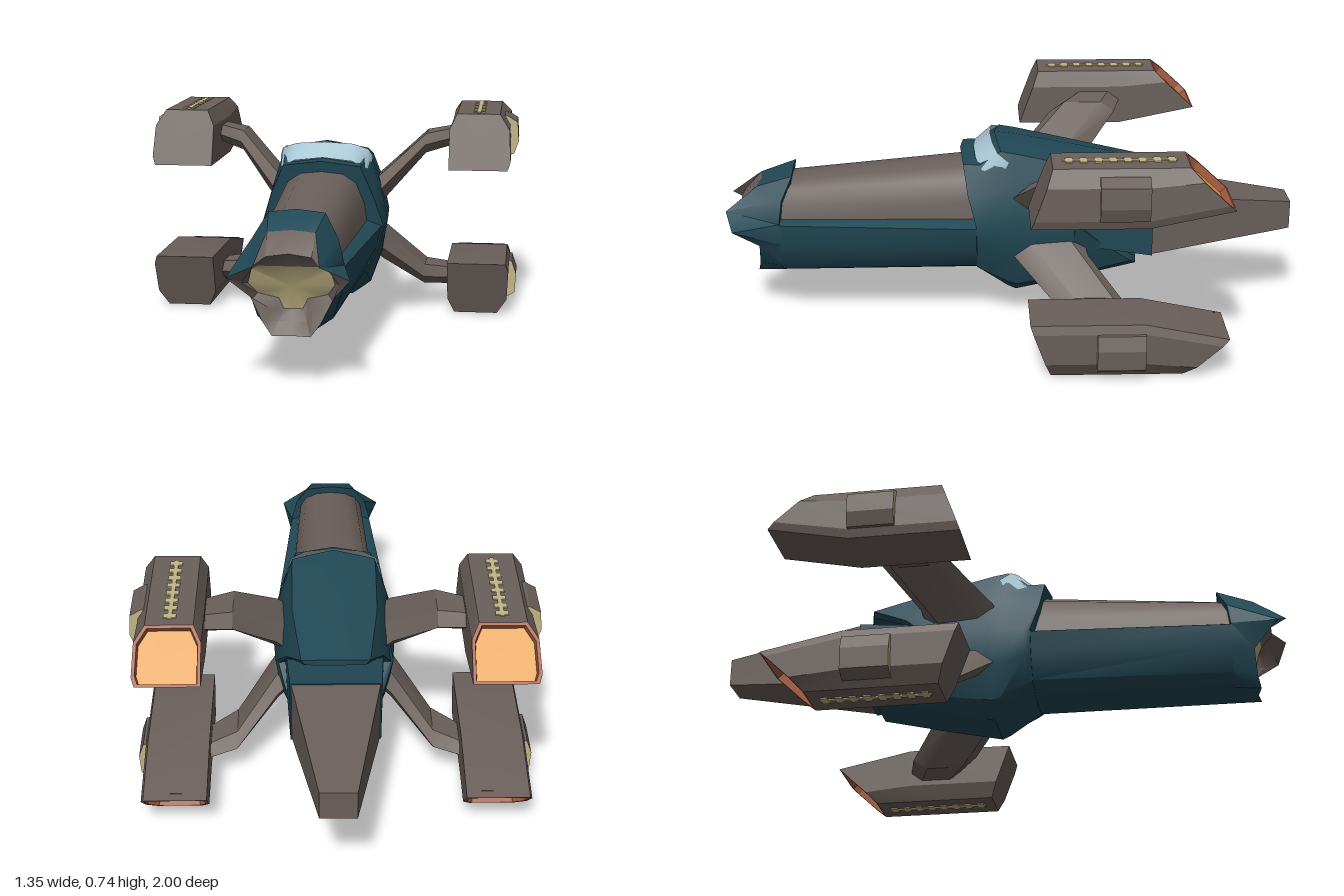
import * as THREE from 'three';
import { toCreasedNormals } from 'three/addons/utils/BufferGeometryUtils.js';

const mat = (name, color) => new THREE.MeshStandardMaterial({ name, color });

// Closed solid through rings of [x, y, z] points; mats = one material or [startCap, ...bands, endCap]
function loft(name, rings, mats, crease = 0.6) {
  const parts = [];
  const cap = (ring, flip) => {
    const c = [0, 1, 2].map(k => ring.reduce((s, p) => s + p[k], 0) / ring.length);
    return ring.flatMap((p, i) => {
      const q = ring[(i + 1) % ring.length];
      return flip ? [c, q, p] : [c, p, q];
    });
  };
  parts.push(cap(rings[0], true));
  for (let r = 0; r < rings.length - 1; r++) {
    const a = rings[r], b = rings[r + 1];
    parts.push(a.flatMap((p, i) => {
      const j = (i + 1) % a.length;
      return [p, a[j], b[j], p, b[j], b[i]];
    }));
  }
  parts.push(cap(rings[rings.length - 1], false));

  // Turn every face outward, judged by the signed volume
  const pts = parts.flat();
  const v = pts.map(p => new THREE.Vector3(...p));
  let volume = 0;
  for (let i = 0; i < v.length; i += 3) volume += v[i].dot(v[i + 1].clone().cross(v[i + 2]));
  if (volume < 0) for (let i = 0; i < pts.length; i += 3) [pts[i + 1], pts[i + 2]] = [pts[i + 2], pts[i + 1]];

  let geo = new THREE.BufferGeometry();
  geo.setAttribute('position', new THREE.Float32BufferAttribute(pts.flat(), 3));
  geo = toCreasedNormals(geo, crease);
  if (Array.isArray(mats)) {
    let start = 0;
    parts.forEach((p, i) => { geo.addGroup(start, p.length, i); start += p.length; });
  }
  const mesh = new THREE.Mesh(geo, mats);
  mesh.name = name;
  return mesh;
}

// Full symmetric ring from a half listed bottom centre to top centre
const sym = half => [...half, ...half.slice(1, -1).reverse().map(([x, y, z]) => [-x, y, z])];
const at = (z, half) => sym(half.map(([x, y]) => [x, y, z]));

export function createModel() {
  const model = new THREE.Group();
  model.name = 'spacecraft';
  const teal = mat('teal hull', 0x214855);
  const brown = mat('brown grey plating', 0x6a605b);
  const cream = mat('cream', 0xc2b586);
  const orange = mat('orange glow', 0xe2a050);
  const rust = mat('rust rim', 0xa85c40);
  const glass = mat('pale blue glass', 0xa8c6d3);
  glass.side = THREE.DoubleSide;

  // Nose cowl with two prongs, and a recessed mouth
  model.add(loft('nose', [
    sym([[0, .165, .8], [.07, .165, .8], [.12, .2, .8], [.15, .29, .8], [.155, .37, .81], [.135, .45, .8], [.09, .525, .765], [0, .535, .765]]),
    sym([[0, .16, .89], [.06, .16, .9], [.09, .2, .89], [.13, .28, .885], [.19, .355, .97], [.1, .4, 1], [.075, .485, .89], [0, .49, .88]]),
    sym([[0, .2, .87], [.045, .2, .87], [.06, .235, .87], [.125, .27, .87], [.15, .33, .92], [.115, .385, .94], [.07, .42, .95], [0, .43, .95]]),
    sym([[0, .237, .85], [.03, .237, .85], [.045, .27, .85], [.11, .287, .86], [.135, .325, .89], [.122, .37, .9], [.1, .383, .91], [0, .383, .91]]),
  ], [teal, teal, brown, brown, cream]));

  // Lower forward hull with a shelf along each side
  model.add(loft('forwardHull', [
    at(.81, [[0, .165], [.07, .165], [.12, .2], [.15, .29], [.155, .365], [.13, .378], [0, .38]]),
    at(.12, [[0, .17], [.08, .172], [.15, .205], [.19, .29], [.207, .365], [.16, .385], [0, .39]]),
  ], teal, 0.8));

  // Rounded plating over the forward hull
  model.add(loft('foreDeck', [
    at(.83, [[0, .36], [.128, .36], [.118, .43], [.095, .475], [.055, .497], [0, .502]]),
    at(.1, [[0, .36], [.16, .36], [.15, .45], [.122, .525], [.075, .558], [0, .567]]),
  ], brown, 0.9));

  // Cabin, ending in a hollow chevron at the back
  const chevron = [[0, .18, -.45], [.08, .18, -.45], [.11, .2, -.43], [.16, .28, -.33], [.195, .37, -.23], [.165, .46, -.33], [.115, .53, -.46], [0, .55, -.49]];
  const inset = (s, dz) => sym(chevron.map(([x, y, z]) => [x * s, .37 + (y - .37) * s, z + dz]));
  model.add(loft('cabin', [
    sym([[0, .168, .12], [.08, .17, .12], [.15, .2, .12], [.195, .29, .12], [.212, .37, .12], [.178, .48, .15], [.135, .58, .165], [0, .598, .175]]),
    sym([[0, .155, .1], [.08, .157, .1], [.155, .19, .1], [.2, .28, .1], [.217, .37, .1], [.185, .48, .1], [.14, .58, .105], [0, .6, .115]]),
    sym([[0, .1, .01], [.088, .1, .01], [.158, .145, .01], [.198, .25, .01], [.22, .37, .02], [.188, .5, .02], [.145, .63, .035], [0, .655, .055]]),
    at(-.02, [[0, .085], [.09, .087], [.157, .135], [.197, .245], [.218, .37], [.188, .5], [.147, .62], [0, .646]]),
    at(-.22, [[0, .13], [.09, .13], [.15, .165], [.188, .26], [.205, .37], [.182, .48], [.145, .575], [0, .607]]),
    sym(chevron), inset(.88, 0), inset(.75, .12),
  ], teal, 0.55));

  // Wraparound windscreen, a thin strip
  const low = [[.162, .548, .035], [.152, .565, .1], [.1, .592, .122], [0, .604, .128]];
  const high = [[.165, .595, .005], [.152, .626, .045], [.1, .645, .062], [0, .652, .07]];
  const across = row => [...row, ...row.slice(0, -1).reverse().map(([x, y, z]) => [-x, y, z])];
  const lo = across(low), hi = across(high), n = lo.length, index = [];
  for (let i = 0; i < n - 1; i++) index.push(i, i + n, i + 1, i + 1, i + n, i + n + 1);
  const screen = new THREE.BufferGeometry();
  screen.setAttribute('position', new THREE.Float32BufferAttribute([...lo, ...hi].flat(), 3));
  screen.setIndex(index);
  screen.computeVertexNormals();
  const windscreen = new THREE.Mesh(screen, glass);
  windscreen.name = 'windscreen';
  model.add(windscreen);

  // Rear core and tapered tail
  const rect = (z, w, y0, y1) => [[-w, y0, z], [w, y0, z], [w, y1, z], [-w, y1, z]];
  model.add(loft('rearCore', [rect(-.15, .175, .3, .42), rect(-.5, .153, .237, .463)], teal, 0.3));
  model.add(loft('tail', [rect(-.49, .15, .24, .46), rect(-1, .06, .3, .4)], brown, 0.3));

  // Engine pods and struts, drawn for the upper left and mirrored to all four corners
  const frontZ = y => -.05 - .07 * (y - .54) / .195;
  const rearZ = y => -.56 - .15 * (.735 - y) / .14;
  const pod = [[.43, .54], [.64, .54], [.65, .57], [.645, .68], [.61, .735], [.455, .735], [.43, .68]];
  const rear = pod.map(([x, y]) => {
    const yr = .597 + (y - .54) * .138 / .195;
    return [x, yr, rearZ(yr)];
  });
  const shrink = (s, d) => rear.map(([x, y, z]) => [.538 + (x - .538) * s, .666 + (y - .666) * s - .73 * d, -.634 + (z + .634) * s + .68 * d]);
  const bump = [[.6, .56], [.66, .572], [.677, .62], [.672, .69], [.635, .712], [.6, .712]];
  // Strut stations: [x, upper y, lower y, front z, back z]
  const strut = [[.13, .47, .36, .02, -.25], [.2, .53, .43, -.01, -.27], [.34, .65, .58, -.16, -.4], [.45, .665, .605, -.25, -.43]]
    .map(([x, t, b, f, k]) => {
      const m = (t + b) / 2, d = (f - k) * .22;
      return [[x, m, f], [x, t, f - d], [x, t, k + d], [x, m, k], [x, b, k + d], [x, b, f - d]];
    });

  for (const sy of [1, -1]) for (const sx of [1, -1]) {
    const place = rings => rings.map(r => r.map(([x, y, z]) => [x * sx, .37 + (y - .37) * sy, z]));
    const engine = new THREE.Group();
    engine.name = `${sy > 0 ? 'upper' : 'lower'}${sx > 0 ? 'Left' : 'Right'}Engine`;
    engine.add(loft('pod', place([
      pod.map(([x, y]) => [x, y, frontZ(y)]),
      pod.map(([x, y]) => [x, y, -.43]),
      rear, shrink(.9, 0), shrink(.87, .025),
    ]), [brown, brown, brown, rust, rust, orange], 0.3));
    engine.add(loft('sideIntake', place([-.27, -.43].map(z => bump.map(([x, y]) => [x, y, z]))), [cream, brown, cream], 0.3));
    engine.add(loft('strut', place(strut), brown, 0.5));

    // Row of vents joined by a thin line
    const addVent = (name, w, d, z) => {
      const vent = new THREE.Mesh(new THREE.BoxGeometry(w, .006, d), cream);
      vent.name = name;
      vent.position.set(.533 * sx, .37 + .366 * sy, z);
      engine.add(vent);
    };
    for (let i = 0; i < 8; i++) addVent('vent', .042, .024, -.175 - i * .0475);
    addVent('ventLine', .014, .37, -.34);
    model.add(engine);
  }
  return model;
}
